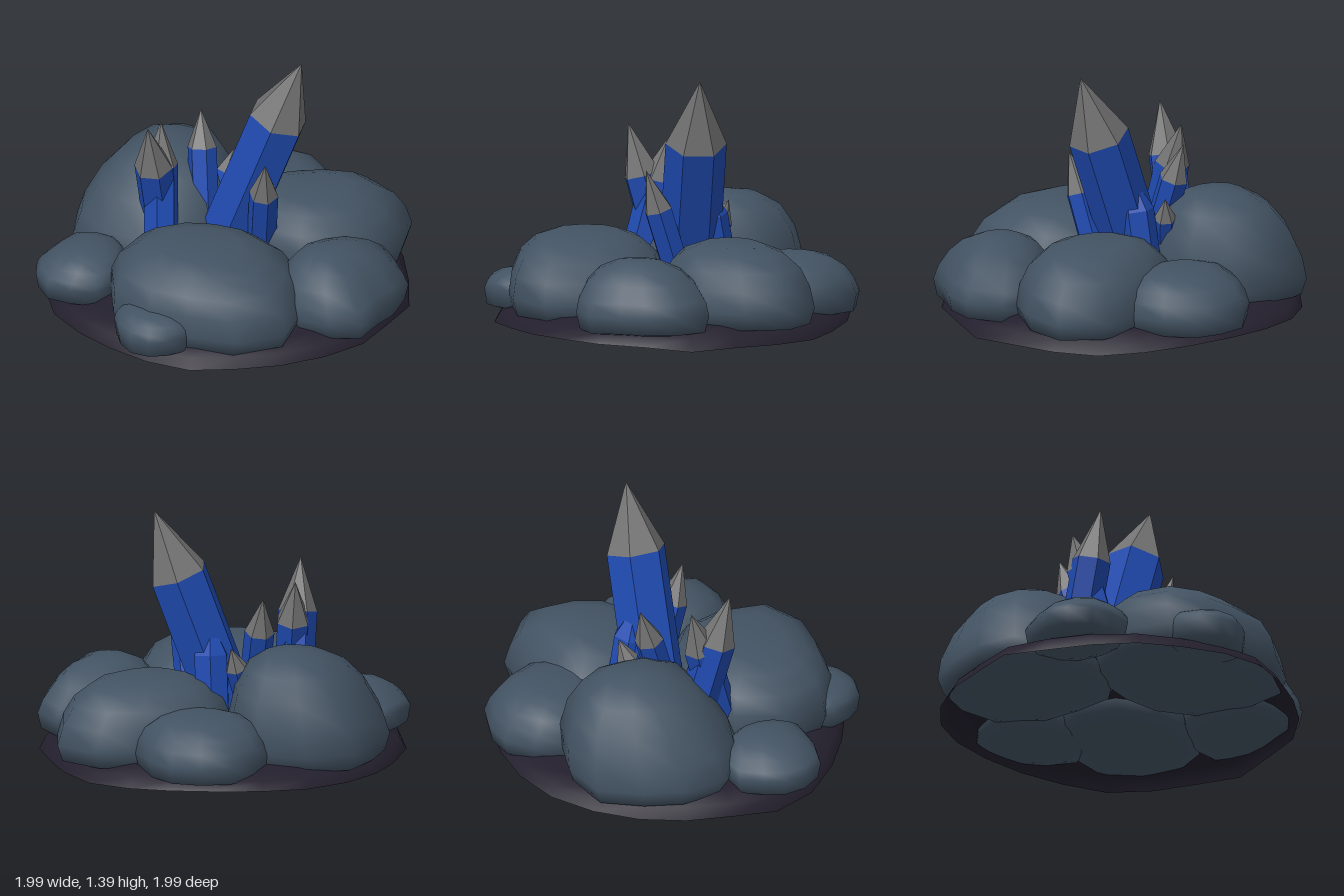
import * as THREE from 'three';
import { mergeVertices } from 'three/addons/utils/BufferGeometryUtils.js';

const mat = (name, color, extra = {}) => {
  const m = new THREE.MeshStandardMaterial({ color, ...extra });
  m.name = name;
  return m;
};

// boulder profiles above the waist: [footprint scale, height fraction]
const DOMED = [[1, 0], [0.96, 0.25], [0.82, 0.57], [0.62, 0.81], [0.35, 0.95], [0, 1]];
const FLAT = [[1, 0], [0.96, 0.35], [0.86, 0.64], [0.66, 0.87], [0.42, 0.98], [0, 1]];
const WAIST = 0.21, BOTTOM = 0.12;

// boulder: profile turned round a twelve-cornered footprint (radii from +x towards +z)
function rockGeometry({ x, z, top, radii, profile, lean = [0, 0] }) {
  const points = [[0, BOTTOM - 0.03], [0.6, BOTTOM - 0.02], [0.94, BOTTOM],
    ...profile.map(([s, h]) => [s, WAIST + h * (top - WAIST)])];
  let g = new THREE.LatheGeometry(points.map(([s, y]) => new THREE.Vector2(s, y)), 12);
  g.deleteAttribute('uv');
  g.deleteAttribute('normal');
  const p = g.attributes.position;
  for (let i = 0; i < p.count; i++) {
    const corner = Math.round(Math.atan2(p.getZ(i), p.getX(i)) / (Math.PI / 6));
    const r = radii[(corner + 12) % 12];
    const up = Math.max(0, (p.getY(i) - WAIST) / (top - WAIST));
    p.setX(i, x + r * p.getX(i) + lean[0] * up);
    p.setZ(i, z + r * p.getZ(i) + lean[1] * up);
  }
  g = mergeVertices(g, 1e-4);
  g.computeVertexNormals();
  return g;
}

// low dome under the boulders, open below with an uneven rim
function groundGeometry() {
  const rim = [0.98, 0.95, 0.97, 0.95, 0.93, 0.93, 0.96, 0.95, 0.94, 0.96, 0.99, 1.0,
    0.99, 0.96, 0.97, 0.98, 0.99, 0.98, 0.96, 0.95, 0.94, 0.97, 0.96, 0.95];
  const drop = [0.03, 0.05, 0.06, 0.065, 0.06, 0.06, 0.055, 0.05, 0.04, 0.03, 0.01, 0.01,
    0.05, 0.04, 0.05, 0.06, 0.07, 0.08, 0.08, 0.07, 0.05, 0.04, 0.04, 0.04];
  const n = rim.length;
  const rings = [[1, 0], [0.965, 0.5], [0.86, 0.8], [0.6, 1], [0.3, 1.05]];
  const pos = [], index = [];
  for (const [s, h] of rings) {
    for (let i = 0; i < n; i++) {
      const a = (i / n) * 2 * Math.PI;
      pos.push(rim[i] * s * Math.cos(a), drop[i] + (0.17 - drop[i]) * h, rim[i] * s * Math.sin(a));
    }
  }
  pos.push(0, 0.18, 0);
  for (let k = 0; k < rings.length; k++) {
    for (let i = 0; i < n; i++) {
      const j = (i + 1) % n, a = k * n + i, b = k * n + j;
      if (k === rings.length - 1) index.push(a, rings.length * n, b);
      else index.push(a, a + n, b, b, a + n, b + n);
    }
  }
  const g = new THREE.BufferGeometry();
  g.setAttribute('position', new THREE.Float32BufferAttribute(pos, 3));
  g.setIndex(index);
  g.computeVertexNormals();
  return g;
}

// six-sided crystal along the line from base to tip
function crystal(name, base, tip, radius, tipLength, bodyMat, tipMat, spin = 0) {
  const from = new THREE.Vector3(...base), to = new THREE.Vector3(...tip);
  const axis = to.clone().sub(from);
  const body = axis.length() - tipLength;
  const group = new THREE.Group();
  group.name = name;
  const shaft = new THREE.Mesh(new THREE.CylinderGeometry(radius, radius, body, 6), bodyMat);
  shaft.name = 'crystalShaft';
  shaft.position.y = body / 2;
  const point = new THREE.Mesh(new THREE.ConeGeometry(radius, tipLength, 6), tipMat);
  point.name = 'crystalPoint';
  point.position.y = body + tipLength / 2;
  shaft.rotation.y = point.rotation.y = spin;
  group.add(shaft, point);
  group.position.copy(from);
  group.quaternion.setFromUnitVectors(new THREE.Vector3(0, 1, 0), axis.normalize());
  return group;
}

export function createModel() {
  const model = new THREE.Group();
  model.name = 'crystalRocks';
  const stone = mat('slateStone', 0x435363);
  const earth = mat('darkEarth', 0x231f2d, { side: THREE.DoubleSide });
  const blue = mat('crystalBlue', 0x1f4ab0, { flatShading: true });
  const grey = mat('crystalGrey', 0x727272, { flatShading: true });

  const ground = new THREE.Mesh(groundGeometry(), earth);
  ground.name = 'ground';
  model.add(ground);

  // boulders
  const rocks = {
    frontRock: { x: -0.02, z: 0.45, top: 0.54, profile: FLAT, lean: [-0.04, 0],
      radii: [0.53, 0.58, 0.5, 0.43, 0.46, 0.53, 0.54, 0.52, 0.46, 0.43, 0.46, 0.51] },
    tallBackRightRock: { x: -0.48, z: -0.25, top: 0.7, profile: DOMED, lean: [0.08, -0.08],
      radii: [0.43, 0.48, 0.48, 0.45, 0.46, 0.46, 0.43, 0.43, 0.5, 0.5, 0.52, 0.47] },
    backLeftRock: { x: 0.42, z: -0.3, top: 0.53, profile: FLAT, lean: [-0.04, 0.02],
      radii: [0.45, 0.42, 0.39, 0.4, 0.42, 0.47, 0.48, 0.45, 0.37, 0.38, 0.46, 0.51] },
    leftRock: { x: 0.68, z: 0.25, top: 0.49, profile: DOMED, lean: [-0.06, 0],
      radii: [0.29, 0.26, 0.34, 0.34, 0.36, 0.35, 0.34, 0.33, 0.32, 0.36, 0.41, 0.36] },
    backRock: { x: 0.08, z: -0.68, top: 0.42, profile: FLAT, lean: [0, 0.05],
      radii: [0.36, 0.36, 0.34, 0.3, 0.3, 0.33, 0.36, 0.34, 0.34, 0.32, 0.33, 0.32] },
    rightRock: { x: -0.76, z: 0.3, top: 0.36, profile: DOMED, lean: [0.06, 0],
      radii: [0.24, 0.26, 0.29, 0.26, 0.27, 0.25, 0.24, 0.23, 0.27, 0.27, 0.27, 0.25] },
    smallFrontRock: { x: -0.22, z: 0.78, top: 0.315, profile: FLAT, lean: [0, -0.02],
      radii: [0.2, 0.21, 0.2, 0.21, 0.22, 0.22, 0.24, 0.25, 0.2, 0.2, 0.2, 0.2] },
  };
  for (const [name, spec] of Object.entries(rocks)) {
    const rock = new THREE.Mesh(rockGeometry(spec), stone);
    rock.name = name;
    model.add(rock);
  }

  // crystals with grey points
  model.add(
    crystal('mainCrystal', [-0.04, 0.3, -0.09], [0.36, 1.4, -0.11], 0.165, 0.38, blue, grey),
    crystal('rightCrystal', [-0.38, 0.3, -0.01], [-0.415, 1.06, 0.195], 0.105, 0.29, blue, grey, Math.PI / 6),
    crystal('rightRearCrystal', [-0.35, 0.3, 0.16], [-0.395, 0.98, -0.02], 0.095, 0.24, blue, grey),
    crystal('middleCrystal', [-0.16, 0.3, -0.06], [-0.23, 0.95, -0.25], 0.08, 0.21, blue, grey, Math.PI / 6),
    crystal('leftFrontCrystal', [0.16, 0.3, -0.02], [0.225, 0.9, 0.165], 0.08, 0.23, blue, grey, Math.PI / 6),
    crystal('smallRearCrystal', [-0.15, 0.3, -0.18], [-0.06, 0.69, -0.31], 0.062, 0.13, blue, grey),
  );

  // blue shard leaning into the main crystal
  model.add(crystal('rearShard', [0.04, 0.3, -0.25], [0.06, 0.82, -0.16], 0.1, 0.2, blue, blue));
  return model;
}
